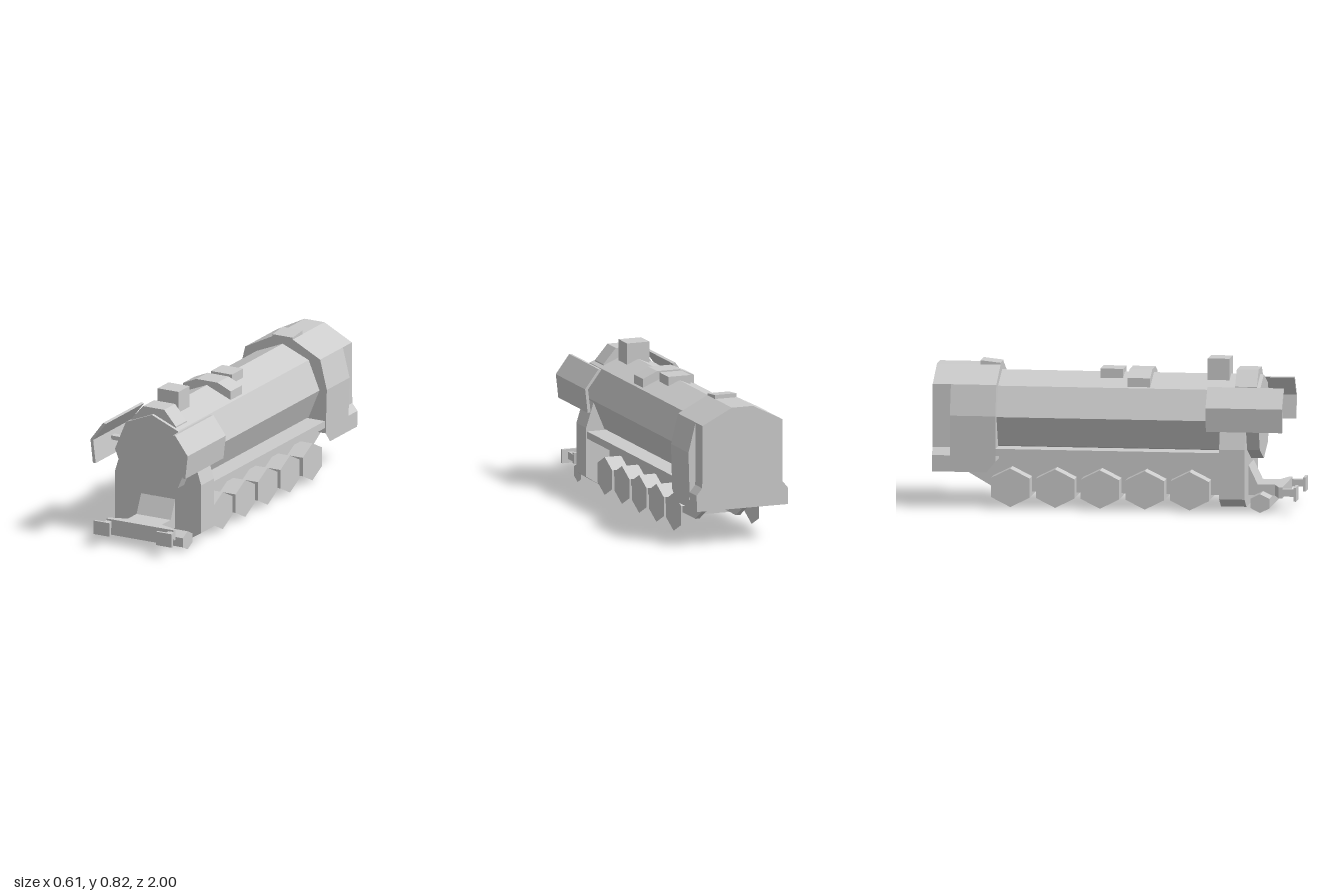
import * as THREE from 'three';

const material = new THREE.MeshStandardMaterial({ color: 0xcccccc, flatShading: true, side: THREE.DoubleSide });

export function createModel() {
  const model = new THREE.Group();

  const add = (name, geometry, parent = model) => {
    const mesh = new THREE.Mesh(geometry, material);
    mesh.name = name;
    parent.add(mesh);
  };
  const group = (name) => {
    const g = new THREE.Group();
    g.name = name;
    model.add(g);
    return g;
  };
  const shapeOf = (points) => new THREE.Shape(points.map(([a, b]) => new THREE.Vector2(a, b)));
  // Right half of a profile, bottom to top, completed by its mirror image
  const mirrored = (half) => [...half, ...half.map(([x, y]) => [-x, y]).reverse()];
  const flip = (points, s) => points.map(([x, y]) => [x * s, y]);
  // Front profile (x, y) swept from z0 to z1
  const sweepZ = (points, z0, z1) =>
    new THREE.ExtrudeGeometry(shapeOf(points), { depth: z1 - z0, bevelEnabled: false }).translate(0, 0, z0);
  // Side profile (z, y) swept from x0 to x1
  const sweepX = (points, x0, x1) =>
    new THREE.ExtrudeGeometry(shapeOf(points), { depth: x1 - x0, bevelEnabled: false })
      .rotateY(-Math.PI / 2).translate(x1, 0, 0);
  // Open skin between two cross-sections of [x, y, z] points
  const skin = (a, b) => {
    const corners = [];
    for (let i = 0; i < a.length - 1; i++) {
      corners.push(a[i], b[i], b[i + 1], a[i], b[i + 1], a[i + 1]);
    }
    const g = new THREE.BufferGeometry();
    g.setAttribute('position', new THREE.Float32BufferAttribute(corners.flat(), 3));
    g.computeVertexNormals();
    return g;
  };
  const box = (name, x0, x1, y0, y1, z0, z1) =>
    add(name, new THREE.BoxGeometry(x1 - x0, y1 - y0, z1 - z0)
      .translate((x0 + x1) / 2, (y0 + y1) / 2, (z0 + z1) / 2));

  // Octagonal boiler
  const octagon = [];
  for (let i = 0; i < 8; i++) {
    const a = (i * Math.PI) / 4;
    octagon.push([0.231 * Math.cos(a), 0.5 + 0.231 * Math.sin(a)]);
  }
  add('boiler', sweepZ(octagon, -0.65, 0.79));

  // Running board and cylinder block
  box('runningBoard', -0.265, 0.265, 0.29, 0.33, -0.65, 0.6);
  add('cylinderBlock', sweepZ(mirrored([
    [0.19, 0.027], [0.27, 0.077], [0.27, 0.35], [0.226, 0.49],
  ]), 0.58, 0.72));

  // Cab: a shell open below, with a cut front corner and an inset rear part
  const cab = group('cab');
  const roof = [[0.235, 0.677], [0.062, 0.765]];
  const wide = mirrored([[0.268, 0.2], [0.277, 0.51], ...roof]);
  const nose = mirrored([[0.27, 0.26], [0.277, 0.51], ...roof]);
  const inset = mirrored([[0.268, 0.2], [0.27, 0.29], [0.237, 0.33], ...roof]);
  const at = (points, z) => points.map(([x, y]) => [x, y, z]);
  add('cabNose', skin(at(nose, -0.65), at(wide, -0.7)), cab);
  add('cabSides', skin(at(wide, -0.7), at(wide, -0.9)), cab);
  add('cabRear', skin(at(inset, -0.9), at(inset, -1)), cab);
  add('cabBulkhead', new THREE.ShapeGeometry(shapeOf(nose)).translate(0, 0, -0.65), cab);
  add('cabBack', new THREE.ShapeGeometry(shapeOf(inset)).rotateY(Math.PI).translate(0, 0, -1), cab);
  const step = [[0.27, 0.29], [0.277, 0.51], [0.235, 0.677], [0.237, 0.33]];
  for (const s of [1, -1]) {
    add('cabStep', new THREE.ShapeGeometry(shapeOf(flip(step, s))).rotateY(Math.PI).translate(0, 0, -0.9), cab);
  }
  add('roofHatch', sweepX([[-0.76, 0.75], [-0.65, 0.75], [-0.65, 0.775], [-0.76, 0.787]], -0.063, 0.063));

  // Boiler top fittings
  box('chimney', -0.066, 0.066, 0.69, 0.822, 0.49, 0.61);
  add('frontDome', sweepZ(mirrored([[0.14, 0.66], [0.14, 0.68], [0.066, 0.765]]), 0.65, 0.77));
  add('saddle', sweepZ(mirrored([[0.15, 0.665], [0.15, 0.718], [0.066, 0.755]]), 0.06, 0.185));
  box('rearDome', -0.066, 0.066, 0.69, 0.755, -0.1, 0.025);

  // Parts on both sides
  const deflector = [[0.272, 0.45], [0.29, 0.45], [0.305, 0.582], [0.226, 0.688], [0.208, 0.685], [0.288, 0.58]];
  const bracket = [[0.2, 0.53], [0.282, 0.53], [0.285, 0.553], [0.2, 0.553]];
  for (const [side, s] of [['left', 1], ['right', -1]]) {
    // Smoke deflector with its bracket
    add(side + 'Deflector', sweepZ(flip(deflector, s), 0.51, 0.93));
    add(side + 'DeflectorBracket', sweepZ(flip(bracket, s), 0.7, 0.74));
    // Frame plate, rising into the open cab
    const x = s * 0.12;
    add(side + 'FramePlate', sweepX([
      [0.6, 0.08], [0.6, 0.3], [-0.99, 0.3], [-0.99, 0.285], [-0.85, 0.2], [-0.67, 0.095], [-0.65, 0.08],
    ], x - 0.013, x + 0.013));
    // Bumper pad on its stem
    const bx = s * 0.195;
    box(side + 'BumperStem', bx - 0.016, bx + 0.016, 0.09, 0.13, 0.9, 0.99);
    box(side + 'BumperPad', bx - 0.05, bx + 0.05, 0.068, 0.145, 0.985, 1);
  }

  // Sloped front apron and front beam
  add('frontApron', sweepX([[0.58, 0.08], [0.79, 0.08], [0.79, 0.14], [0.77, 0.14], [0.72, 0.245], [0.58, 0.3]], -0.107, 0.107));
  add('frontBeam', new THREE.ExtrudeGeometry(shapeOf(mirrored([
    [0.107, 0.77], [0.107, 0.865], [0.21, 0.9], [0.21, 0.92],
  ])), { depth: 0.06, bevelEnabled: false }).rotateX(Math.PI / 2).translate(0, 0.14, 0));

  // Six-sided wheelset lying across the model, open along its two lower sides
  const wheelset = (name, z, y, r) => {
    const wheels = group(name);
    wheels.position.set(0, y, z);
    const hexagon = [];
    for (let i = 0; i < 6; i++) {
      const a = -Math.PI / 6 + (i * Math.PI) / 3;
      hexagon.push([(r * Math.cos(a)) / Math.cos(Math.PI / 6), r * Math.sin(a)]);
    }
    const half = 0.23;
    const rim = (x) => hexagon.slice(0, 5).map(([dz, dy]) => [x, dy, dz]).slice(0, 4);
    add('wheelTread', skin(rim(-half), rim(half)), wheels);
    for (const s of [1, -1]) {
      add('wheelFace', new THREE.ShapeGeometry(shapeOf(hexagon)).rotateY((s * Math.PI) / 2).translate(s * half, 0, 0), wheels);
    }
  };
  for (let i = 0; i < 5; i++) wheelset('drivingWheelset', 0.412 - i * 0.2465, 0.112, 0.106);
  wheelset('pilotWheelset', 0.8, 0.052, 0.052);

  return model;
}
